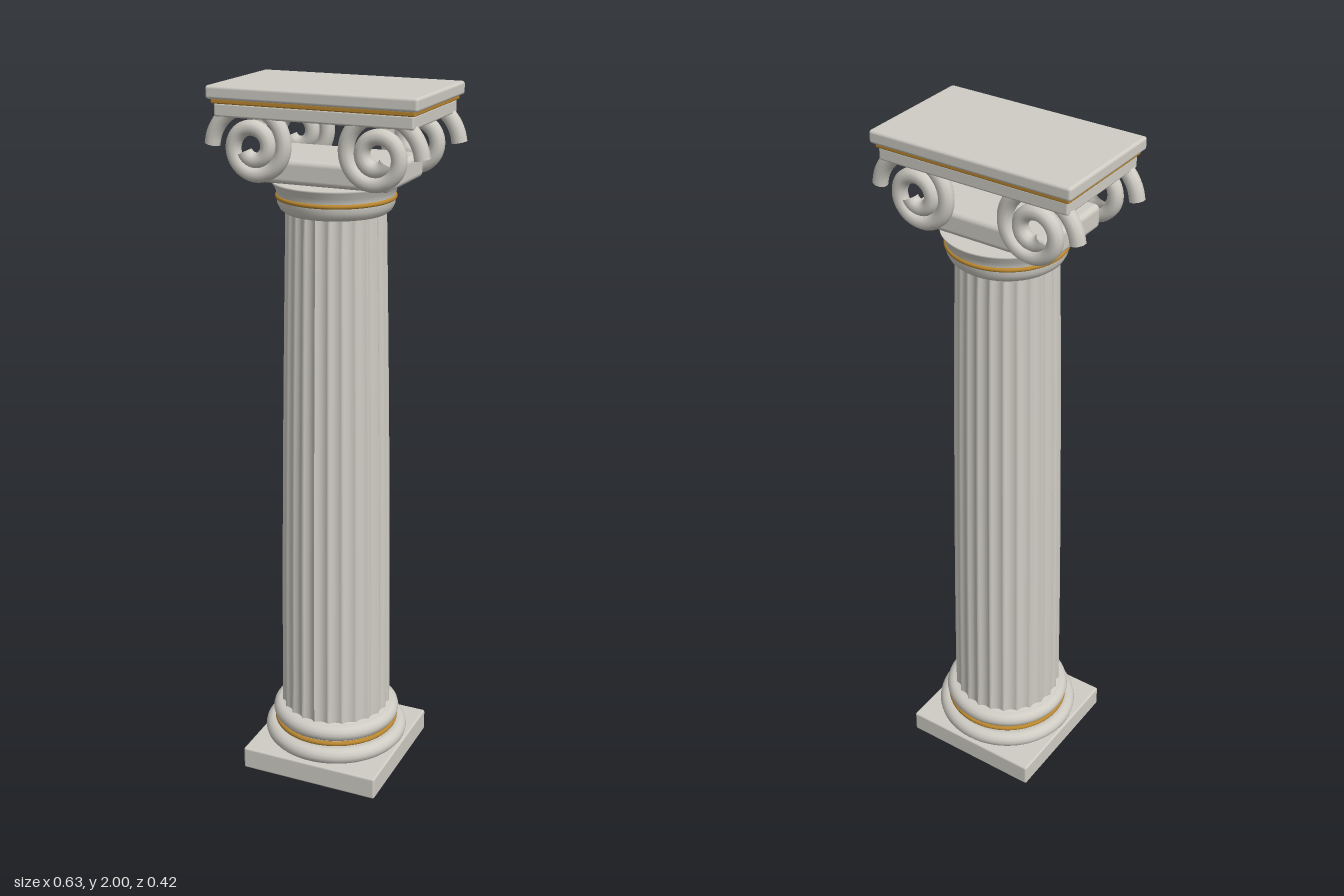
import * as THREE from 'three';
import { RoundedBoxGeometry } from 'three/addons/geometries/RoundedBoxGeometry.js';

const stone = new THREE.MeshStandardMaterial({ color: 0xcfccc4 });
stone.name = 'paleStone';
const gold = new THREE.MeshStandardMaterial({ color: 0xb8862f });
gold.name = 'gold';

function add(parent, name, geometry, material, x = 0, y = 0, z = 0) {
  const mesh = new THREE.Mesh(geometry, material);
  mesh.name = name;
  mesh.position.set(x, y, z);
  parent.add(mesh);
  return mesh;
}

// Rounded slab given by its half sizes and its bottom and top heights
function slab(parent, name, hx, hz, y0, y1, r, material = stone) {
  const g = new RoundedBoxGeometry(hx * 2, y1 - y0, hz * 2, 3, r);
  return add(parent, name, g, material, 0, (y0 + y1) / 2, 0);
}

// Horizontal ring with outer radius R and tube radius r
function ring(parent, name, R, r, y, material) {
  const g = new THREE.TorusGeometry(R - r, r, 14, 64).rotateX(Math.PI / 2);
  return add(parent, name, g, material, 0, y, 0);
}

function lathe(parent, name, points) {
  const g = new THREE.LatheGeometry(points.map(([x, y]) => new THREE.Vector2(x, y)), 64);
  return add(parent, name, g, stone);
}

// Tapering shaft with a slight swelling and scalloped flutes
function flutedShaft() {
  const y0 = 0.17, y1 = 1.68, flutes = 24;
  const g = new THREE.CylinderGeometry(1, 1, y1 - y0, flutes * 8, 16, true);
  const p = g.attributes.position;
  for (let i = 0; i < p.count; i++) {
    const a = Math.atan2(p.getZ(i), p.getX(i));
    const t = p.getY(i) / (y1 - y0) + 0.5;
    const R = 0.161 - 0.025 * Math.pow(t, 1.5);
    const r = R * (1 - 0.055 * Math.pow(Math.abs(Math.sin(a * flutes / 2)), 0.8));
    p.setXYZ(i, Math.cos(a) * r, p.getY(i) + (y0 + y1) / 2, Math.sin(a) * r);
  }
  g.computeVertexNormals();
  return g;
}

// Scroll that winds inward from its outer tail; side is +1 or -1
function voluteGeometry(side) {
  const points = [], quarters = 7.7, steps = 60;
  for (let i = 0; i <= steps; i++) {
    const q = quarters * i / steps;
    const r = 0.121 * Math.exp(-0.18 * q), a = q * Math.PI / 2;
    points.push(new THREE.Vector3(side * r * Math.cos(a), r * Math.sin(a), 0));
  }
  return new THREE.TubeGeometry(new THREE.CatmullRomCurve3(points), 110, 0.021, 10, false);
}

export function createModel() {
  const model = new THREE.Group();
  model.name = 'column';

  // Base
  const base = new THREE.Group();
  base.name = 'base';
  model.add(base);
  slab(base, 'plinth', 0.21, 0.21, 0, 0.067, 0.006);
  ring(base, 'lowerTorus', 0.212, 0.025, 0.093, stone);
  lathe(base, 'baseCore', [[0, 0.06], [0.188, 0.06], [0.188, 0.112], [0.175, 0.122],
    [0.165, 0.135], [0.165, 0.181], [0, 0.181]]);
  ring(base, 'baseGoldRing', 0.184, 0.007, 0.125, gold);
  ring(base, 'upperTorus', 0.188, 0.025, 0.155, stone);

  // Shaft
  add(model, 'shaft', flutedShaft(), stone);

  // Capital
  const capital = new THREE.Group();
  capital.name = 'capital';
  model.add(capital);
  lathe(capital, 'echinus', [[0, 1.668], [0.14, 1.668], [0.15, 1.676], [0.157, 1.69],
    [0.159, 1.706], [0.158, 1.714], [0.162, 1.73], [0.172, 1.746], [0.172, 1.751], [0, 1.751]]);
  ring(capital, 'capitalGoldRing', 0.163, 0.006, 1.709, gold);
  slab(capital, 'cushion', 0.2, 0.125, 1.75, 1.816, 0.015);

  // Four scrolls with closed tube ends
  for (const side of [1, -1]) {
    const g = voluteGeometry(side);
    for (const z of [0.138, -0.138]) {
      add(capital, 'volute', g, stone, side * 0.172, 1.845, z);
      const cap = add(capital, 'voluteTail', new THREE.CircleGeometry(0.021, 10), stone,
        side * 0.293, 1.845, z);
      cap.rotation.x = Math.PI / 2;
    }
  }

  // Abacus
  slab(capital, 'lowerAbacus', 0.276, 0.16, 1.919, 1.955, 0.006);
  slab(capital, 'abacusGoldBand', 0.281, 0.166, 1.953, 1.967, 0.004, gold);
  slab(capital, 'upperAbacus', 0.292, 0.176, 1.965, 2, 0.008);

  return model;
}
